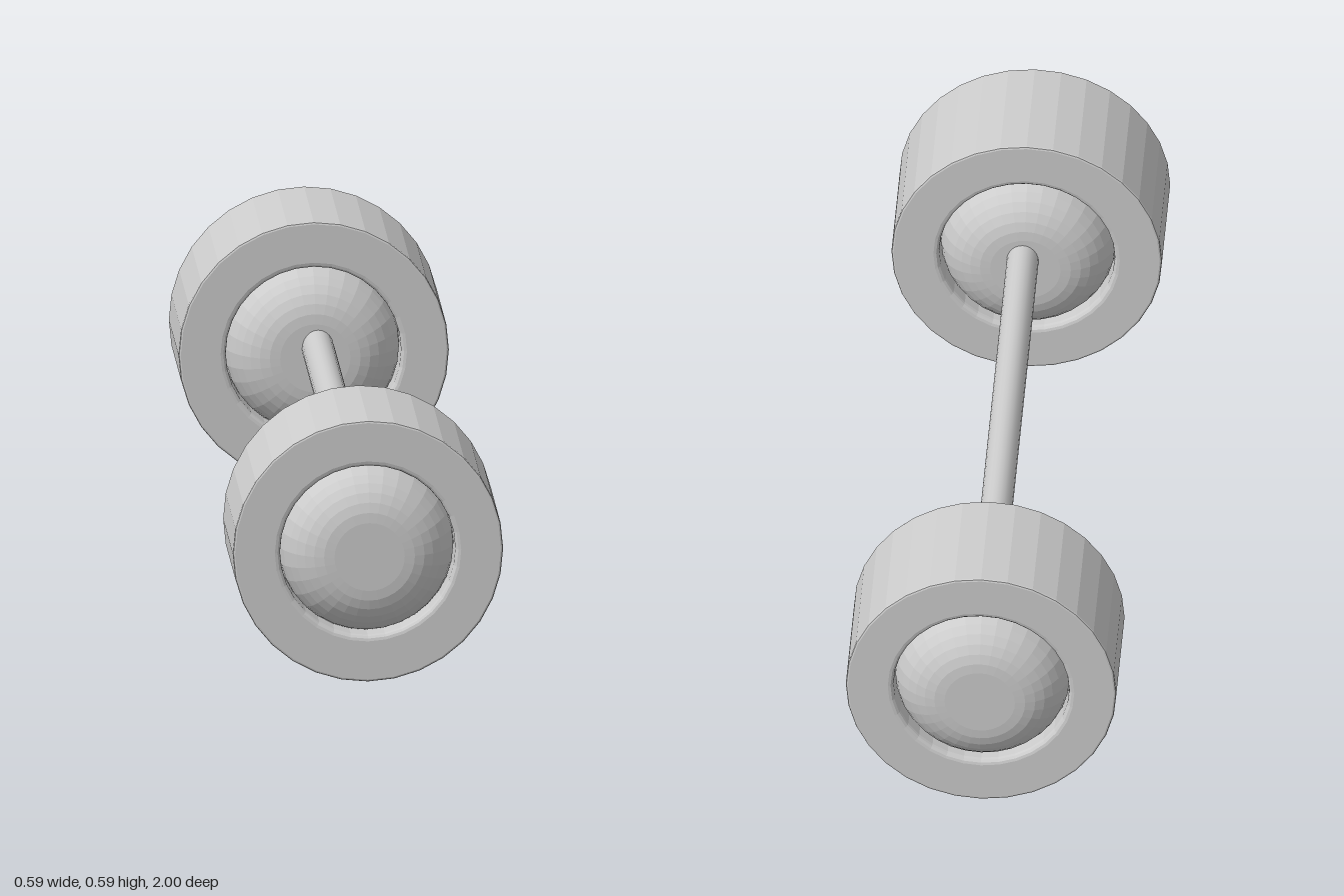
import * as THREE from 'three';

const SIDES = 32;
const RADIUS = 0.296;      // wheel radius, also the height of its centre
const WHEEL_Z = 0.807;     // distance of each wheel from the middle

// Surface of revolution around z from [radius, depth] pairs
function turned(name, profile, material) {
  const points = profile.map(([r, d]) => new THREE.Vector2(r, d));
  const geometry = new THREE.LatheGeometry(points, SIDES);
  geometry.rotateX(Math.PI / 2);
  const mesh = new THREE.Mesh(geometry, material);
  mesh.name = name;
  return mesh;
}

// Quarter-round corner from angle a to angle b about (r, d)
function corner(r, d, size, a, b, steps) {
  const out = [];
  for (let i = 0; i <= steps; i++) {
    const t = a + ((b - a) * i) / steps;
    out.push([r + size * Math.cos(t), d + size * Math.sin(t)]);
  }
  return out;
}

function createWheel(name, material) {
  const wheel = new THREE.Group();
  wheel.name = name;
  const Q = Math.PI / 2;

  // Tyre: thick ring, slim outer bevels, softly rounded hole edges
  const half = 0.147, bevel = 0.005, hole = 0.192, lip = 0.012;
  const tyre = [
    ...corner(hole + lip, -half + lip, lip, -2 * Q, -Q, 3),
    ...corner(RADIUS - bevel, -half + bevel, bevel, -Q, 0, 2),
    ...corner(RADIUS - bevel, half - bevel, bevel, 0, Q, 2),
    ...corner(hole + lip, half - lip, lip, Q, 2 * Q, 3),
  ];
  tyre.push(tyre[0]);
  wheel.add(turned('tyre', tyre, material));

  // Hub: drum with large rounded shoulders and flat end discs
  const hubR = 0.192, hubHalf = 0.193, round = 0.115;
  wheel.add(turned('hub', [
    [0, -hubHalf],
    ...corner(hubR - round, -hubHalf + round, round, -Q, 0, 8),
    ...corner(hubR - round, hubHalf - round, round, 0, Q, 8),
    [0, hubHalf],
  ], material));
  return wheel;
}

export function createModel() {
  const model = new THREE.Group();
  model.name = 'wheelAxle';
  const flat = new THREE.MeshStandardMaterial({ color: 0xcccccc, flatShading: true });
  const smooth = new THREE.MeshStandardMaterial({ color: 0xcccccc });

  // Wheel pair
  for (const side of [1, -1]) {
    const wheel = createWheel(side > 0 ? 'frontWheel' : 'backWheel', flat);
    wheel.position.set(0, RADIUS, side * WHEEL_Z);
    model.add(wheel);
  }

  // Axle: slightly oval rod, set a little above the wheel centres
  const rod = new THREE.CylinderGeometry(1, 1, 1.4, 24);
  rod.rotateX(Math.PI / 2);
  rod.scale(0.035, 0.042, 1);
  const axle = new THREE.Mesh(rod, smooth);
  axle.name = 'axle';
  axle.position.set(0.006, 0.318, 0);
  model.add(axle);

  return model;
}
